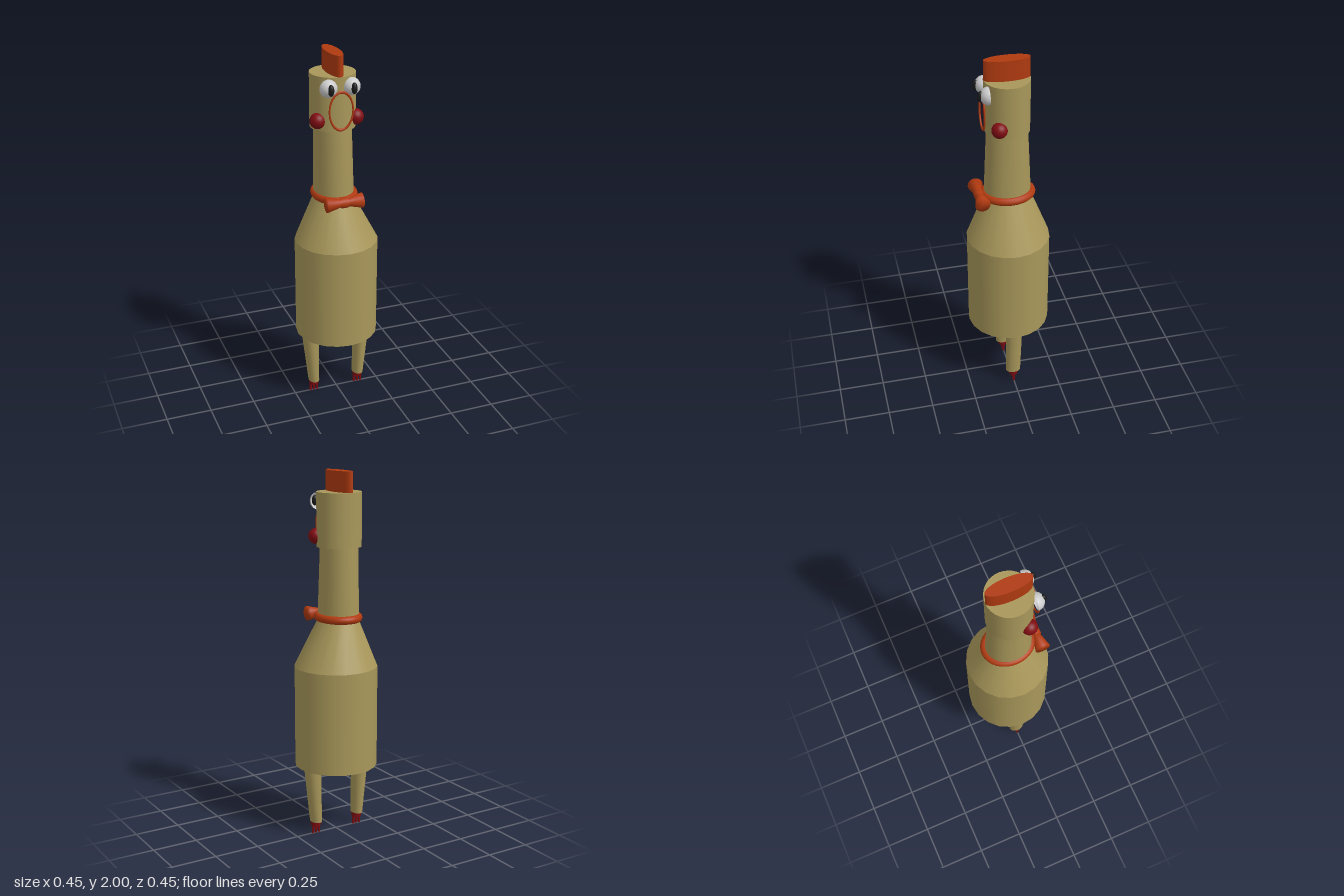
import * as THREE from 'three';

const paint = (color, side = THREE.FrontSide) => new THREE.MeshStandardMaterial({ color, side });

// Elliptical section: height, centre x, radius x, radius z, centre z
const ring = (y, x, rx, rz, z = 0) => ({ y, x, rx, rz, z });

// Cylinder whose two ends are reshaped to the given elliptical sections
function loft(bottom, top, sides) {
  const g = new THREE.CylinderGeometry(1, 1, 1, sides);
  const p = g.attributes.position;
  for (let i = 0; i < p.count; i++) {
    const r = p.getY(i) > 0 ? top : bottom;
    p.setXYZ(i, r.x + p.getX(i) * r.rx, r.y, r.z + p.getZ(i) * r.rz);
  }
  const n = g.attributes.normal;
  // Side normals follow the ellipse; the caps keep theirs
  for (let i = 0; i < n.count; i++) {
    if (Math.abs(n.getY(i)) > 0.9) continue;
    const v = new THREE.Vector3(n.getX(i) / bottom.rx, 0, n.getZ(i) / bottom.rz).normalize();
    v.y = (bottom.rx - top.rx) / (top.y - bottom.y);
    v.normalize();
    n.setXYZ(i, v.x, v.y, v.z);
  }
  return g;
}

export function createModel() {
  const model = new THREE.Group();
  const skin = paint(0xa8975a);
  const orange = paint(0xb03a10);
  const red = paint(0x800d12);
  const white = paint(0xe0e0e0, THREE.DoubleSide);
  const black = paint(0x1a1a1a);

  const add = (name, geometry, material, parent = model) => {
    const mesh = new THREE.Mesh(geometry, material);
    mesh.name = name;
    parent.add(mesh);
    return mesh;
  };

  // Trunk, neck and head
  const cx = -0.02;
  const waist = ring(0.95, 0, 0.227, 0.227);
  const collarRing = ring(1.2, -0.015, 0.107, 0.128);
  add('body', loft(ring(0.39, 0, 0.227, 0.227), waist, 20), skin);
  add('shoulders', loft(waist, collarRing, 20), skin);
  add('neck', loft(collarRing, ring(1.61, cx, 0.1, 0.109), 24), skin);
  add('head', loft(ring(1.6, cx, 0.121, 0.119), ring(1.89, cx, 0.121, 0.121), 32), skin);
  add('comb', loft(ring(1.88, cx, 0.038, 0.121), ring(2, cx, 0.038, 0.121), 32), orange);

  // Open beak ring
  const beak = add('beak', new THREE.TorusGeometry(1, 0.075, 8, 40), orange);
  beak.scale.set(0.064, 0.1, 0.07);
  beak.position.set(cx, 1.715, 0.13);

  // Eyes and cheeks
  for (const s of [-1, 1]) {
    const side = s > 0 ? 'left' : 'right';
    const dome = new THREE.SphereGeometry(0.047, 24, 10, 0, Math.PI * 2, 0, Math.PI / 2);
    dome.rotateX(Math.PI / 2);
    add(side + 'Eye', dome, white).position.set(cx + s * 0.0625, 1.835, 0.107);
    const pupil = add(side + 'Pupil', new THREE.SphereGeometry(1, 16, 12), black);
    pupil.scale.set(0.016, 0.03, 0.018);
    pupil.position.set(cx + s * 0.0625, 1.835, 0.149);
    add(side + 'Cheek', new THREE.SphereGeometry(0.042, 20, 14), red)
      .position.set(cx + s * 0.105, 1.655, 0.063);
  }

  // Collar
  const collar = add('collar', new THREE.TorusGeometry(0.115, 0.022, 12, 32), orange);
  collar.rotation.x = Math.PI / 2;
  collar.scale.set(0.91, 1.09, 1);
  collar.position.set(-0.012, 1.22, -0.002);

  // Bow: a turned profile lying along x
  const profile = [[0, -0.1], [0.041, -0.1], [0.022, -0.022], [0.028, -0.016],
    [0.028, 0.016], [0.022, 0.022], [0.041, 0.1], [0, 0.1]];
  const bow = add('bowTie', new THREE.LatheGeometry(
    profile.map(([r, y]) => new THREE.Vector2(r, y)), 24), orange);
  bow.rotation.z = Math.PI / 2;
  bow.position.set(-0.012, 1.22, 0.155);

  // Legs with feet and three toes each
  for (const s of [-1, 1]) {
    const leg = new THREE.Group();
    leg.name = s > 0 ? 'leftLeg' : 'rightLeg';
    const x = s > 0 ? 0.131 : -0.137;
    add('shin', loft(ring(0.07, x, 0.03, 0.042), ring(0.4, x + s * 0.02, 0.049, 0.046), 20), skin, leg);
    add('foot', loft(ring(0.045, x, 0.027, 0.026), ring(0.073, x, 0.03, 0.031), 16), red, leg);
    for (const t of [-1, 0, 1]) {
      const tx = x + t * 0.018;
      add('toe', loft(ring(0, tx + t * 0.002, 0.006, 0.006), ring(0.05, tx, 0.008, 0.01), 10), red, leg);
    }
    model.add(leg);
  }
  return model;
}
